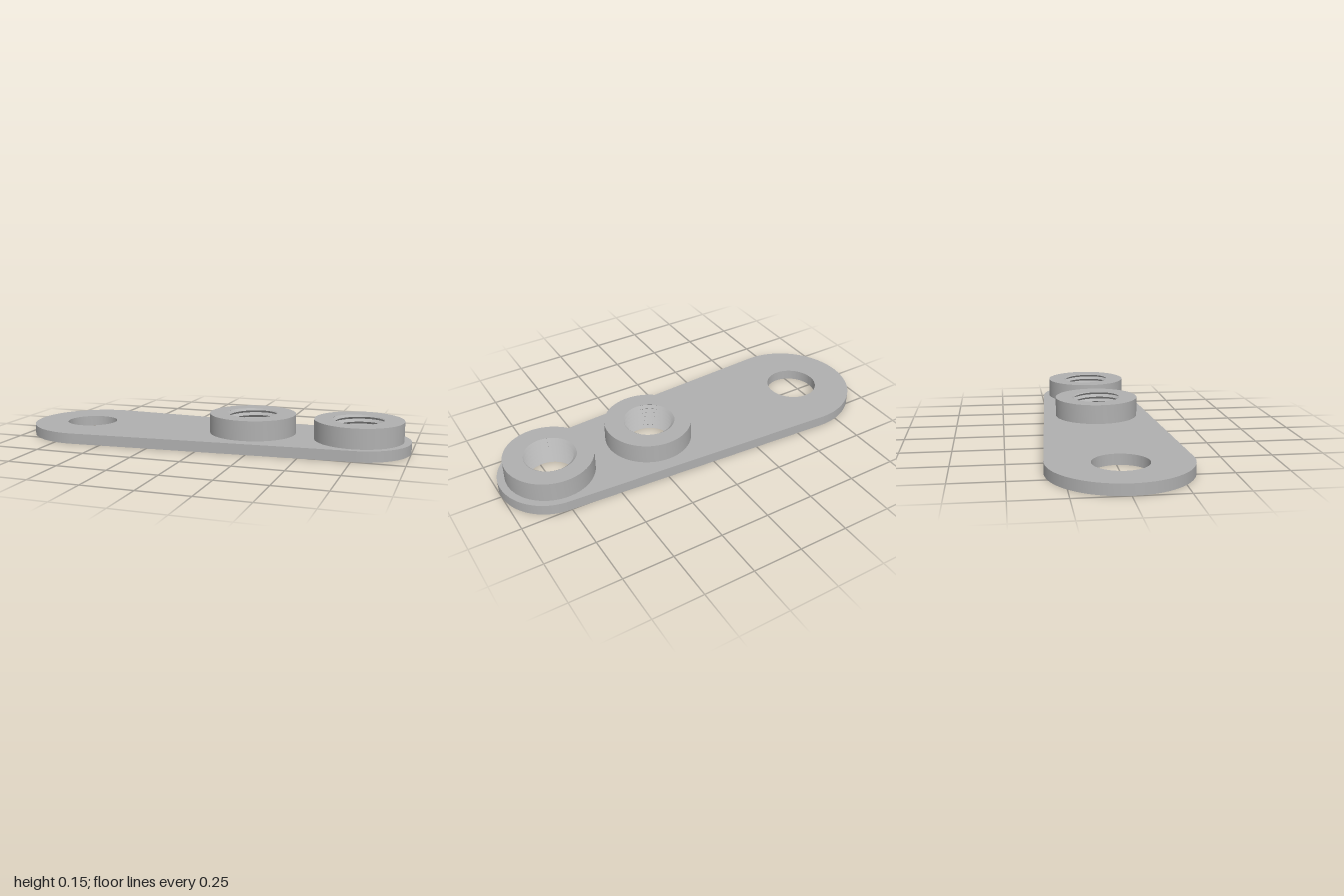
import * as THREE from 'three';
import { toCreasedNormals } from 'three/addons/utils/BufferGeometryUtils.js';

const PLATE = 0.053, TOP = 0.152;      // heights
const BOSS_R = 0.218, SEAT_R = 0.2;    // boss outside, and its seat in the plate
const MINOR = 0.119, MAJOR = 0.135, PITCH = 0.025;
const BOSSES = [0.208, 0.746];

// Tapered link plate with rounded ends and three holes
function plateGeometry() {
  const big = { x: -0.665, r: 0.335 }, small = { x: 0.75, r: 0.25 };
  const t = Math.acos((big.r - small.r) / (small.x - big.x));
  const shape = new THREE.Shape();
  shape.absarc(small.x, 0, small.r, -t, t, false);
  shape.absarc(big.x, 0, big.r, t, 2 * Math.PI - t, false);
  shape.closePath();
  const addHole = (x, r) => shape.holes.push(new THREE.Path().absarc(x, 0, r, 0, 2 * Math.PI, true));
  addHole(-0.7, 0.131);
  BOSSES.forEach((x) => addHole(x, SEAT_R));
  const geo = new THREE.ExtrudeGeometry(shape, { depth: PLATE, bevelEnabled: false, curveSegments: 48 });
  geo.rotateX(-Math.PI / 2);
  return toCreasedNormals(geo, 0.5);
}

// Round boss swept from a profile whose bore follows a helical thread
function bossGeometry() {
  const segments = 72;
  const rows = Math.ceil((2 * TOP) / PITCH) + 1;
  const section = (i) => {
    const turn = i / segments;
    const angle = (i % segments) / segments * Math.PI * 2;
    const profile = [[SEAT_R, 0]];
    for (let k = -2; k <= rows; k++) {
      const y = THREE.MathUtils.clamp(PITCH * (k / 2 + turn), 0, TOP);
      const phase = THREE.MathUtils.euclideanModulo(y / PITCH - turn, 1);
      const groove = 1 - Math.abs(2 * phase - 1);
      profile.push([MINOR + (MAJOR - MINOR) * groove, y]);
    }
    profile.push([BOSS_R, TOP], [BOSS_R, PLATE]);
    return profile.map(([r, y]) => new THREE.Vector3(r * Math.cos(angle), y, r * Math.sin(angle)));
  };

  const positions = [];
  const triangle = new THREE.Triangle();
  const addFace = (a, b, c) => {
    triangle.set(a, b, c);
    if (triangle.getArea() > 1e-9) positions.push(...a.toArray(), ...b.toArray(), ...c.toArray());
  };
  for (let i = 0; i < segments; i++) {
    const s0 = section(i), s1 = section(i + 1);
    for (let j = 0; j < s0.length - 1; j++) {
      addFace(s0[j], s1[j], s0[j + 1]);
      addFace(s1[j], s1[j + 1], s0[j + 1]);
    }
  }
  const geo = new THREE.BufferGeometry();
  geo.setAttribute('position', new THREE.Float32BufferAttribute(positions, 3));
  return toCreasedNormals(geo, 0.5);
}

export function createModel() {
  const model = new THREE.Group();
  model.name = 'linkPlate';
  const steel = new THREE.MeshStandardMaterial({ color: 0xb0b0b0 });
  steel.name = 'greySteel';

  const plate = new THREE.Mesh(plateGeometry(), steel);
  plate.name = 'plate';
  model.add(plate);

  // Two identical threaded bosses
  const bossGeo = bossGeometry();
  ['innerThreadedBoss', 'outerThreadedBoss'].forEach((name, i) => {
    const boss = new THREE.Mesh(bossGeo, steel);
    boss.name = name;
    boss.position.x = BOSSES[i];
    model.add(boss);
  });
  return model;
}
